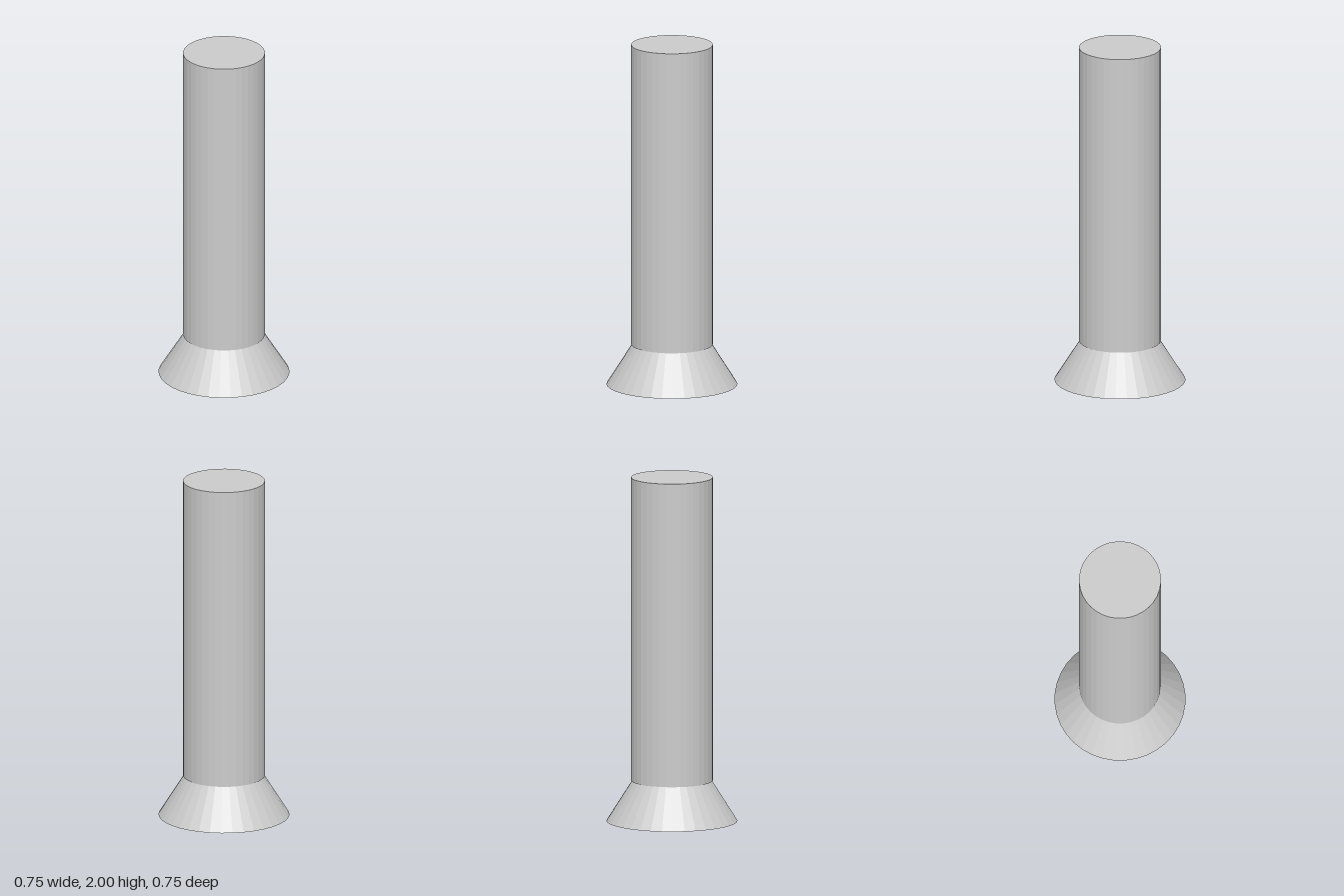
import * as THREE from 'three';

const SIDES = 36;
const COLLAR = 0.235; // height where the skirt meets the column

export function createModel() {
  const group = new THREE.Group();
  const material = new THREE.MeshStandardMaterial({
    color: 0xcccccc, flatShading: true, side: THREE.DoubleSide,
  });

  const addRound = (name, topRadius, bottomRadius, y0, y1, open) => {
    const geometry = new THREE.CylinderGeometry(topRadius, bottomRadius, y1 - y0, SIDES, 1, open);
    const mesh = new THREE.Mesh(geometry, material);
    mesh.name = name;
    mesh.position.y = (y0 + y1) / 2;
    group.add(mesh);
  };

  // Tall closed column
  addRound('column', 0.235, 0.235, COLLAR, 2, false);
  // Flared skirt, a thin shell open underneath
  addRound('flaredSkirt', 0.228, 0.376, 0, COLLAR, true);

  return group;
}
